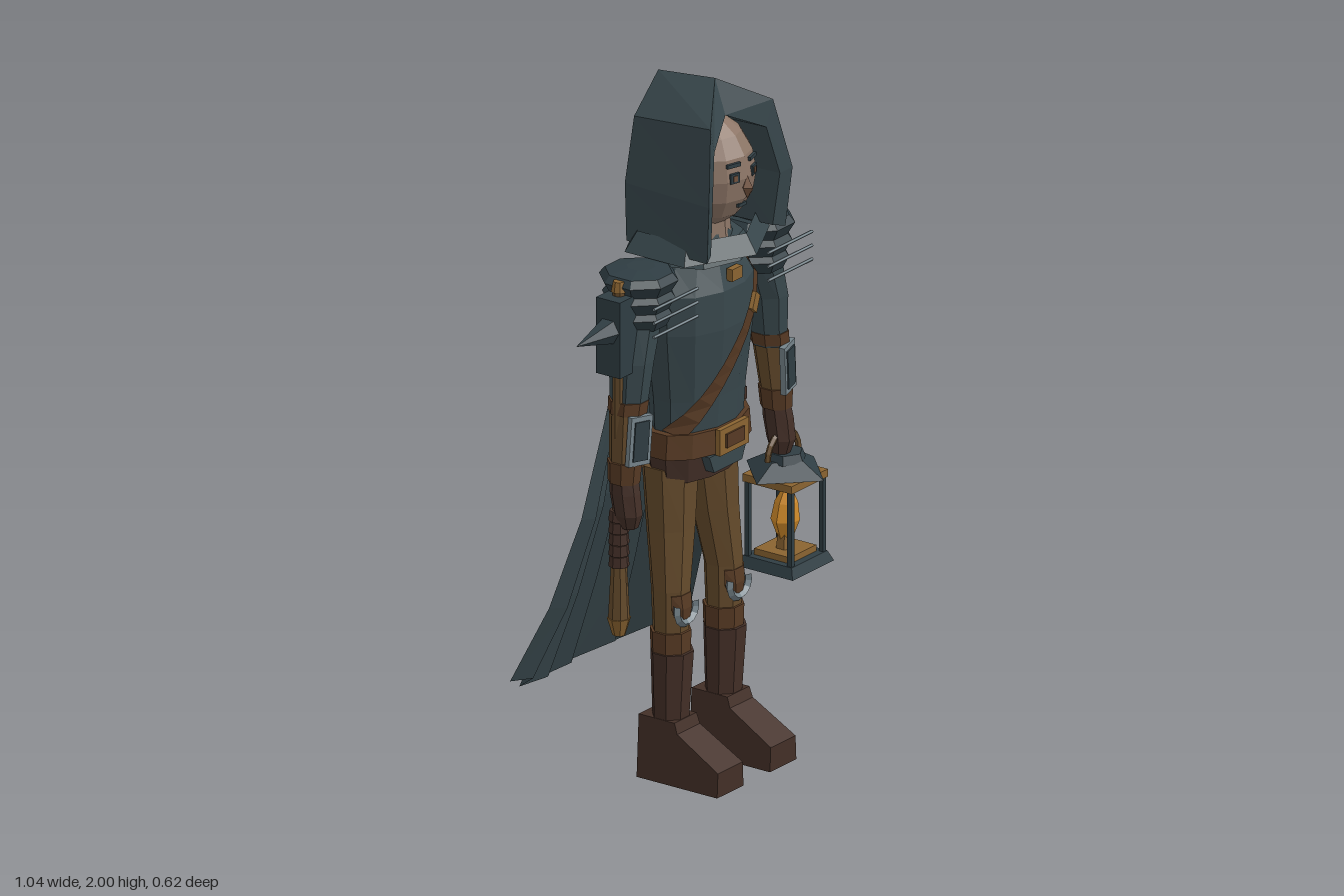
import * as THREE from 'three';

const mat = (name, color, side = THREE.FrontSide) => {
  const m = new THREE.MeshStandardMaterial({ color, side });
  m.name = name;
  return m;
};

export function createModel() {
  const cloth = mat('slate cloth', 0x38474c, THREE.DoubleSide);
  const armor = mat('dark iron', 0x2f3d43);
  const skin = mat('skin', 0x8c7566);
  const skinShade = mat('skin shade', 0x73523d);
  const trousers = mat('ochre trousers', 0x644a2b);
  const leather = mat('leather', 0x573a24, THREE.DoubleSide);
  const darkLeather = mat('dark leather', 0x432f27);
  const brass = mat('brass', 0x8a6431);
  const steel = mat('steel', 0x75838a);
  const flame = mat('flame', 0xcf8a2a);

  const model = new THREE.Group();
  model.name = 'hoodedWanderer';
  const body = new THREE.Group();
  body.name = 'body';
  body.position.set(0.03, 0, 0.1);
  model.add(body);

  // Faceted mesh with one normal per face
  const add = (name, geo, m, x = 0, y = 0, z = 0, parent = body) => {
    const g = geo.index ? geo.toNonIndexed() : geo;
    g.computeVertexNormals();
    const mesh = new THREE.Mesh(g, m);
    mesh.name = name;
    mesh.position.set(x, y, z);
    parent.add(mesh);
    return mesh;
  };
  const box = (w, h, d) => new THREE.BoxGeometry(w, h, d);
  const cyl = (a, b, h, n = 8, open = false) => new THREE.CylinderGeometry(a, b, h, n, 1, open);

  // Skin over rows of [x, y, z] points
  const loft = (rows) => {
    const n = rows[0].length, idx = [];
    for (let i = 0; i < rows.length - 1; i++) for (let j = 0; j < n - 1; j++) {
      const a = i * n + j, c = a + n;
      idx.push(a, a + 1, c, a + 1, c + 1, c);
    }
    const g = new THREE.BufferGeometry();
    g.setAttribute('position', new THREE.Float32BufferAttribute(rows.flat(2), 3));
    g.setIndex(idx);
    return g;
  };
  // Capped limb from ascending [x, y, z, rx, rz] sections
  const limb = (secs, n = 8) => {
    const a = secs[0], b = secs[secs.length - 1];
    const all = [[a[0], a[1], a[2], 0, 0], ...secs, [b[0], b[1], b[2], 0, 0]];
    return loft(all.map(([x, y, z, rx, rz]) => Array.from({ length: n + 1 }, (_, j) => {
      const t = (j + 0.5) / n * Math.PI * 2;
      return [x + Math.sin(t) * rx, y, z + Math.cos(t) * rz];
    })));
  };
  const interp = (table, v, k) => {
    let i = 0;
    while (i < table.length - 2 && v > table[i + 1][0]) i++;
    const [a, b] = [table[i], table[i + 1]];
    return THREE.MathUtils.lerp(a[k], b[k], THREE.MathUtils.clamp((v - a[0]) / (b[0] - a[0]), 0, 1));
  };

  // Torso
  const torso = [[0.98, 0.16, 0.1], [1.1, 0.165, 0.11], [1.3, 0.19, 0.132], [1.41, 0.188, 0.13], [1.48, 0.14, 0.105], [1.56, 0.09, 0.09]];
  add('torso', limb(torso.map(([y, rx, rz]) => [0, y, 0, rx, rz]), 12), cloth);
  add('neck', cyl(0.07, 0.08, 0.12), skin, 0, 1.57, 0.02);

  // Chest strap laid on the torso curve
  const strapRows = [];
  for (let i = 0; i <= 10; i++) {
    const t = i / 10, x = 0.155 - 0.315 * t, y = 1.46 - 0.45 * t;
    strapRows.push([-1, 1].map((s) => {
      const px = x + s * 0.018, py = y - s * 0.014;
      const rx = interp(torso, py, 1), rz = interp(torso, py, 2);
      return [px, py, rz * Math.sqrt(Math.max(0, 1 - (px / rx) ** 2)) + 0.013];
    }));
  }
  add('chestStrap', loft(strapRows), leather);
  const strapBuckle = add('strapBuckle', box(0.05, 0.04, 0.012), brass, 0.075, 1.345, 0.137);
  strapBuckle.rotation.set(0, 0.3, 0.95);
  add('cloakClasp', box(0.045, 0.035, 0.02), brass, 0, 1.45, 0.125);

  // Hips, belt and pouch
  add('hips', limb([[0, 0.86, -0.01, 0.16, 0.09], [0, 0.95, -0.01, 0.175, 0.105]], 12), darkLeather);
  add('belt', limb([[0, 0.94, 0, 0.19, 0.118], [0, 1.01, 0, 0.182, 0.115]], 12), leather);
  add('buckle', box(0.13, 0.075, 0.015), brass, 0, 0.975, 0.118);
  add('bucklePlate', box(0.08, 0.04, 0.008), leather, 0, 0.975, 0.127);
  add('hipFlap', limb([[0, 0.885, 0.09, 0.09, 0.02], [0, 0.935, 0.09, 0.12, 0.02]], 4), cloth);
  add('pouch', box(0.06, 0.1, 0.08), leather, 0.215, 0.95, -0.06);
  add('pouchLid', box(0.068, 0.035, 0.088), darkLeather, 0.215, 0.992, -0.06);

  // Legs and boots
  const bootShape = new THREE.Shape([[-0.07, 0], [0.2, 0], [0.2, 0.07], [0.06, 0.15], [0.05, 0.18], [-0.07, 0.18]].map(([a, b]) => new THREE.Vector2(a, b)));
  for (const s of [-1, 1]) {
    const side = s > 0 ? 'left' : 'right', x = s * 0.12;
    add(side + 'Thigh', limb([[x, 0.42, 0, 0.05, 0.05], [x, 0.55, 0, 0.055, 0.055], [s * 0.1, 0.72, -0.015, 0.07, 0.068], [s * 0.088, 0.9, -0.025, 0.085, 0.078]]), trousers);
    add(side + 'BootShaft', limb([[x, 0.16, 0, 0.052, 0.05], [x, 0.37, 0.005, 0.062, 0.06]]), darkLeather);
    add(side + 'BootCuff', limb([[x, 0.37, 0, 0.056, 0.056], [x, 0.43, 0, 0.058, 0.058]]), leather);
    const boot = new THREE.ExtrudeGeometry(bootShape, { depth: 0.12, bevelEnabled: false });
    boot.translate(0, 0, -0.06).rotateY(-Math.PI / 2);
    const p = boot.attributes.position;
    for (let i = 0; i < p.count; i++) p.setX(i, p.getX(i) * (1 - p.getY(i) * 0.9));
    add(side + 'Boot', boot, darkLeather, x, 0, 0);
    const knee = new THREE.TorusGeometry(0.043, 0.012, 4, 8, Math.PI * 1.2);
    knee.rotateZ(Math.PI * 0.9);
    add(side + 'KneeRim', knee, steel, x, 0.5, 0.052);
    add(side + 'KneeGuard', limb([[x, 0.455, 0.035, 0.025, 0.02], [x, 0.5, 0.035, 0.042, 0.025], [x, 0.54, 0.035, 0.045, 0.02]], 6), leather);
  }

  // Arms, bracers and layered shoulder guards
  for (const s of [-1, 1]) {
    const side = s > 0 ? 'left' : 'right';
    add(side + 'UpperArm', limb([[s * 0.32, 1.12, 0.005, 0.046, 0.052], [s * 0.305, 1.27, 0.005, 0.056, 0.065], [s * 0.26, 1.43, 0, 0.07, 0.07]]), cloth);
    add(side + 'ElbowBand', limb([[s * 0.323, 1.125, 0.005, 0.052, 0.056], [s * 0.318, 1.16, 0.005, 0.053, 0.058]]), leather);
    add(side + 'Forearm', limb([[s * 0.345, 0.95, 0.01, 0.038, 0.042], [s * 0.324, 1.13, 0.005, 0.047, 0.052]]), trousers);
    add(side + 'GloveCuff', limb([[s * 0.346, 0.93, 0.01, 0.042, 0.046], [s * 0.342, 0.99, 0.01, 0.046, 0.05]]), leather);
    add(side + 'Glove', limb([[s * 0.345, 0.8, 0.025, 0.025, 0.028], [s * 0.348, 0.84, 0.025, 0.038, 0.042], [s * 0.348, 0.9, 0.015, 0.038, 0.045], [s * 0.345, 0.95, 0.01, 0.036, 0.04]]), darkLeather);
    const guard = new THREE.Group();
    guard.name = side + 'BracerPlate';
    guard.position.set(s * 0.338, 1.055, 0.055);
    guard.rotation.set(0, s * 0.25, s * 0.08);
    body.add(guard);
    add('plateRim', box(0.074, 0.14, 0.016), steel, 0, 0, 0, guard);
    add('plateFace', box(0.05, 0.112, 0.008), armor, 0, 0, 0.008, guard);
    for (let k = 0; k < 3; k++) {
      const y = 1.36 + k * 0.05, r = 0.09 + k * 0.008, x = s * 0.265;
      const secs = [[x, y, 0, r * 0.8, r * 0.86], [x, y + 0.035, 0, r, r * 1.06], [x, y + 0.055, 0, r * 0.85, r * 0.9]];
      if (k === 2) secs.push([x - s * 0.01, y + 0.063, 0, 0.04, 0.04]);
      add(side + 'ShoulderPlate', limb(secs), armor);
      add(side + 'ShoulderRod', cyl(0.005, 0.005, 0.2, 5).rotateZ(Math.PI / 2), steel, s * 0.26, 1.375 + k * 0.04, 0.12);
    }
  }

  // Head and face
  add('head', new THREE.SphereGeometry(1, 12, 8).scale(0.13, 0.16, 0.14), skin, 0, 1.735, 0.03);
  for (const s of [-1, 1]) {
    add('eye', box(0.03, 0.028, 0.009), armor, s * 0.043, 1.745, 0.157).rotation.y = s * 0.28;
    add('pupil', box(0.014, 0.016, 0.009), skinShade, s * 0.044, 1.745, 0.159).rotation.y = s * 0.28;
    add('eyebrow', box(0.045, 0.011, 0.009), armor, s * 0.042, 1.781, 0.153).rotation.y = s * 0.28;
    add('ear', box(0.02, 0.05, 0.03), skin, s * 0.13, 1.715, 0.03);
  }
  add('nose', new THREE.OctahedronGeometry(1).scale(0.018, 0.034, 0.02), skinShade, 0, 1.71, 0.168);
  add('mouth', box(0.035, 0.009, 0.009), armor, 0, 1.655, 0.149);

  // Hood: pointed arches from the flat back to the opening and lining
  const arch = (half) => [...half, ...half.slice(0, -1).reverse().map(([x, y, z]) => [-x, y, z])];
  const front = arch([[-0.178, 1.54, 0.165], [-0.19, 1.71, 0.18], [-0.142, 1.915, 0.15], [0, 2, 0.06]]);
  const back = arch([[-0.145, 1.53, -0.13], [-0.152, 1.7, -0.13], [-0.11, 1.88, -0.13], [0, 1.98, -0.13]]);
  const inner = arch([[-0.14, 1.55, 0.15], [-0.153, 1.7, 0.165], [-0.118, 1.84, 0.145], [0, 1.9, 0.095]]);
  const lining = arch([[-0.13, 1.55, 0], [-0.14, 1.7, 0], [-0.108, 1.84, 0], [0, 1.9, 0]]);
  add('hood', loft([back.map(() => [0, 1.53, -0.13]), back, front, inner, lining]), cloth);
  add('hoodCollar', cyl(0.165, 0.2, 0.055, 6, true).scale(1.12, 1, 1), cloth, 0, 1.547, 0);
  add('scarf', cyl(0.13, 0.16, 0.05, 8).scale(1, 1, 0.85), cloth, 0, 1.515, 0.01);

  // Pleated cape: [drop, y, back z, half width, side wrap, pleat depth]
  const drape = [[0, 1.5, -0.1, 0.13, 0.05, 0.004], [0.1, 1.4, -0.145, 0.19, 0.07, 0.008], [0.3, 1.13, -0.185, 0.23, 0.085, 0.015],
    [0.6, 0.76, -0.235, 0.3, 0.09, 0.022], [0.8, 0.5, -0.305, 0.345, 0.09, 0.027], [1, 0.22, -0.385, 0.4, 0.085, 0.032]];
  const pleats = [0, 0.25, 0.4, 0.6, 0.78, 0.9, 1];
  const columns = [...pleats.slice(1).reverse().map((u) => -u), ...pleats];
  const capeRows = drape.map(([d, y, z, w, wrap, depth]) => columns.map((u, j) => {
    const ridge = j % 2 === 0 ? -1 : 1;
    const hem = d === 1 ? (ridge < 0 ? -0.015 : 0.02) + 0.08 * u ** 4 : 0;
    return [u * w, y + hem, z + wrap * u * u + ridge * depth];
  }));
  add('cape', loft(capeRows), cloth);

  // War hammer held upright along the right arm
  const hammer = new THREE.Group();
  hammer.name = 'hammer';
  hammer.position.set(-0.355, 0, 0);
  body.add(hammer);
  add('shaft', cyl(0.018, 0.018, 0.96, 8), trousers, 0, 1.02, 0, hammer);
  add('shaftTip', cyl(0.016, 0.022, 0.03, 8), brass, 0, 1.495, 0, hammer);
  add('shaftFoot', cyl(0.022, 0.03, 0.16, 8), trousers, 0, 0.61, 0, hammer);
  add('pommel', cyl(0.033, 0.018, 0.05, 8), brass, 0, 0.51, 0, hammer);
  for (let k = 0; k < 5; k++) add('gripWrap', cyl(0.026, 0.029, 0.03, 8), darkLeather, 0, 0.7 + k * 0.033, 0, hammer);
  add('hammerHead', box(0.1, 0.22, 0.08), armor, 0, 1.36, 0, hammer);
  add('hammerFace', box(0.06, 0.12, 0.1), armor, 0.07, 1.37, 0, hammer);
  add('hammerSpike', new THREE.ConeGeometry(0.04, 0.155, 6).rotateZ(Math.PI / 2), armor, -0.117, 1.38, 0, hammer);

  // Lantern hanging from the left hand
  const lantern = new THREE.Group();
  lantern.name = 'lantern';
  lantern.position.set(0.36, 0, 0.03);
  body.add(lantern);
  add('roof', cyl(0.06, 0.13, 0.04, 4), armor, 0, 0.76, 0, lantern);
  add('roofCap', cyl(0.05, 0.06, 0.025, 6), armor, 0, 0.787, 0, lantern);
  add('topPlate', box(0.165, 0.022, 0.165), brass, 0, 0.727, 0, lantern);
  add('base', cyl(0.115, 0.133, 0.03, 4).rotateY(Math.PI / 4), armor, 0, 0.487, 0, lantern);
  add('baseStep', box(0.12, 0.02, 0.12), brass, 0, 0.51, 0, lantern);
  for (const sx of [-1, 1]) for (const sz of [-1, 1])
    add('post', box(0.014, 0.23, 0.014), armor, sx * 0.072, 0.61, sz * 0.072, lantern);
  add('candle', cyl(0.022, 0.028, 0.05, 6), brass, 0, 0.54, 0, lantern);
  add('flame', limb([[0, 0.54, 0, 0.018, 0.018], [0, 0.6, 0, 0.04, 0.04], [0.005, 0.65, 0, 0.032, 0.032], [0.01, 0.705, 0, 0.004, 0.004]], 6), flame, 0, 0, 0, lantern);
  add('handle', new THREE.TorusGeometry(0.07, 0.009, 5, 10, Math.PI), trousers, -0.01, 0.79, 0, lantern);

  return model;
}
